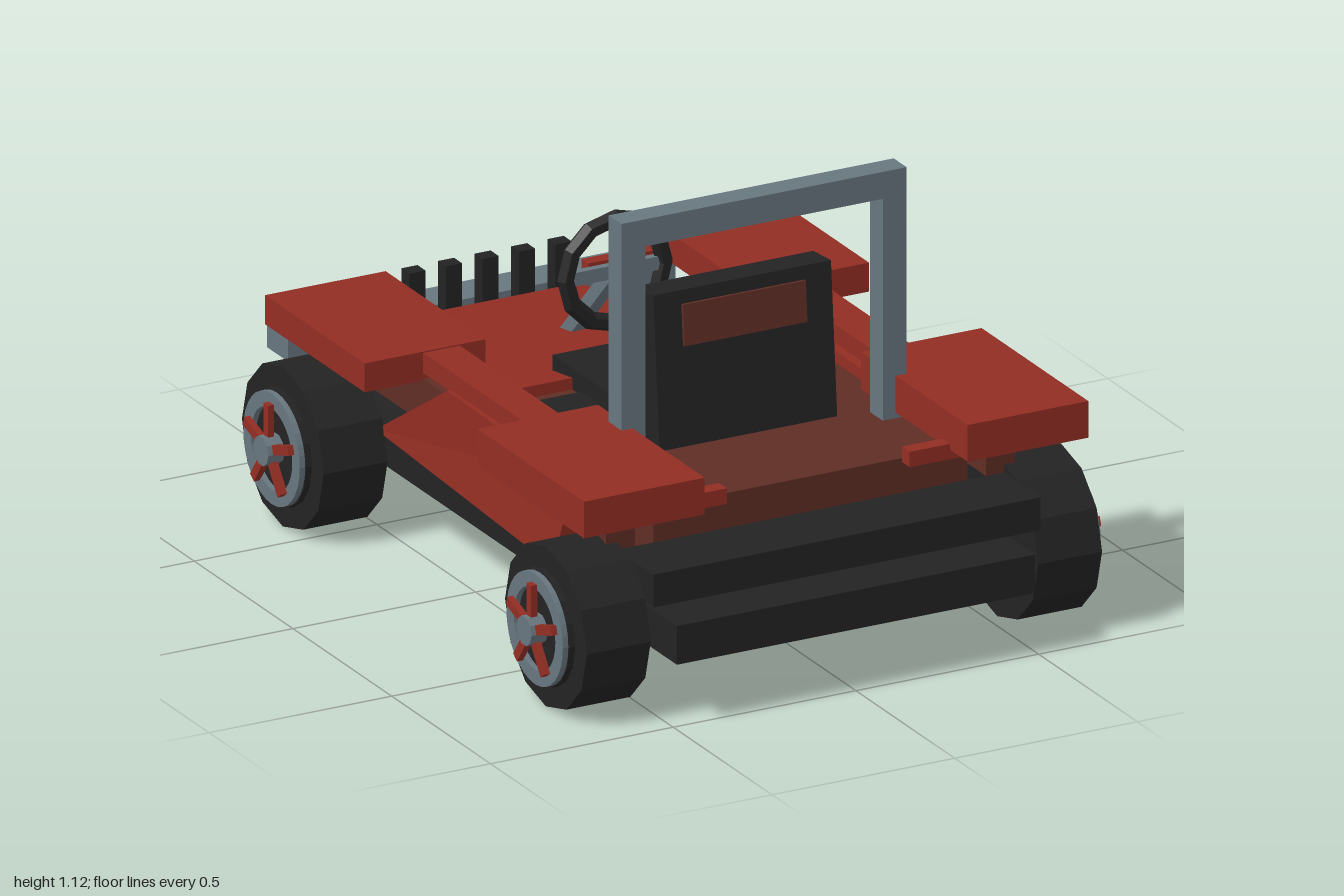
import * as THREE from 'three';

const paint = (name, color) => Object.assign(new THREE.MeshStandardMaterial({ color, flatShading: true }), { name });

export function createModel() {
  const red = paint('red body', 0x922d23);
  const brown = paint('dark brown', 0x5f2d24);
  const black = paint('black', 0x232323);
  const steel = paint('steel grey', 0x68767f);
  const model = new THREE.Group();
  model.name = 'buggy';

  const add = (name, geo, mat, parent = model) => {
    const mesh = new THREE.Mesh(geo, mat);
    mesh.name = name;
    parent.add(mesh);
    return mesh;
  };
  // Box from its limits on each axis
  const box = (name, mat, [x0, x1], [y0, y1], [z0, z1], parent) => {
    const mesh = add(name, new THREE.BoxGeometry(x1 - x0, y1 - y0, z1 - z0), mat, parent);
    mesh.position.set((x0 + x1) / 2, (y0 + y1) / 2, (z0 + z1) / 2);
    return mesh;
  };
  // Box whose corners are placed by a rule (right/top/front flags -> [x, y, z])
  const wedge = (name, mat, rule) => {
    const geo = new THREE.BoxGeometry(1, 1, 1);
    const p = geo.attributes.position;
    for (let i = 0; i < p.count; i++) p.setXYZ(i, ...rule(p.getX(i) > 0, p.getY(i) > 0, p.getZ(i) > 0));
    geo.computeVertexNormals();
    return add(name, geo, mat);
  };

  // Chassis, floor and bumpers
  box('chassis', black, [-0.49, 0.49], [0.16, 0.26], [-0.87, 1]);
  box('bodyFloor', red, [-0.46, 0.46], [0.26, 0.29], [-0.45, 0.58]);
  box('rearBumper', black, [-0.53, 0.53], [0.3, 0.385], [0.77, 0.955]);
  box('frontBumper', steel, [-0.53, 0.53], [0.29, 0.36], [-1, -0.895]);

  // Tub and cockpit floor
  box('tub', brown, [-0.43, 0.43], [0.28, 0.475], [0, 0.77]);
  box('cockpitMat', black, [-0.4, 0.4], [0.475, 0.483], [0.04, 0.155]);

  // Hood tapering to a sloping nose
  wedge('hood', red, (r, t, rear) => {
    const s = r ? 1 : -1;
    if (rear) return t ? [s * 0.405, 0.505, 0] : [s * 0.46, 0.26, 0];
    return t ? [s * 0.22, 0.375, -0.825] : [s * 0.26, 0.19, -0.885];
  });
  for (let i = -2; i <= 2; i++) box('grilleBar', black, [i * 0.1 - 0.022, i * 0.1 + 0.022], [0.31, 0.475], [-0.89, -0.85]);

  // Mirrored body parts
  for (const s of [1, -1]) {
    const side = (name, mat, [a, b], y, z) => box(name, mat, s > 0 ? [a, b] : [-b, -a], y, z);
    wedge('sidePod', red, (r, t, rear) => {
      const outer = r === s > 0;
      const x = !outer ? 0.405 : t ? (rear ? 0.555 : 0.54) : (rear ? 0.58 : 0.53);
      const z = rear ? (t ? 0.59 : 0.54) : (t ? -0.07 : -0.45);
      return [s * x, t ? 0.505 : 0.27, z];
    });
    side('rearFender', red, [0.36, 0.69], [0.49, 0.585], [0.36, 0.9]);
    side('frontFender', red, [0.36, 0.69], [0.48, 0.555], [-0.715, -0.21]);
    side('sideRail', red, [0.43, 0.53], [0.5, 0.552], [-0.21, 0.36]);
    side('rearFenderBracket', brown, [0.48, 0.56], [0.385, 0.49], [0.56, 0.77]);
    side('frontFenderBracket', brown, [0.44, 0.53], [0.37, 0.485], [-0.45, -0.1]);
    side('rearLamp', red, [0.25, 0.48], [0.465, 0.505], [0.77, 0.81]);
    side('frontLamp', red, [0.23, 0.41], [0.39, 0.44], [-0.815, -0.78]);
    side('rollBarPost', steel, [0.325, 0.39], [0.47, 1.05], [0.47, 0.535]);
  }
  box('rollBarTop', steel, [-0.39, 0.39], [1.05, 1.12], [0.47, 0.535]);

  // Seat with a slightly tilted back and headrest pad
  box('seatCushion', black, [-0.235, 0.235], [0.47, 0.53], [-0.1, 0.4]);
  const back = new THREE.Group();
  back.name = 'seatBack';
  back.position.set(0, 0.67, 0.395);
  back.rotation.x = -0.08;
  model.add(back);
  box('seatBackShell', black, [-0.243, 0.243], [-0.2, 0.195], [-0.045, 0.045], back);
  box('headrestPad', brown, [-0.168, 0.168], [0.055, 0.16], [-0.054, 0.054], back);

  // Steering wheel, spoke and column
  add('steeringWheel', new THREE.TorusGeometry(0.135, 0.023, 6, 12), black).position.set(0, 0.662, -0.22);
  box('steeringSpoke', steel, [-0.125, 0.125], [0.645, 0.68], [-0.23, -0.21]);
  const column = box('steeringColumn', steel, [-0.018, 0.018], [-0.17, 0.17], [-0.018, 0.018]);
  column.position.set(0, 0.54, -0.335);
  column.rotation.x = 0.77;

  // Wheels on two axles
  for (const z of [-0.597, 0.735]) {
    const axle = add('axle', new THREE.CylinderGeometry(0.03, 0.03, 1.1, 8), steel);
    axle.rotation.z = Math.PI / 2;
    axle.position.set(0, 0.207, z);
    for (const s of [1, -1]) {
      const wheel = new THREE.Group();
      wheel.name = 'wheel';
      wheel.position.set(0, 0.207, z);
      wheel.rotation.y = s > 0 ? 0 : Math.PI;
      model.add(wheel);
      const disc = (name, mat, r, x0, x1, n) => {
        const m = add(name, new THREE.CylinderGeometry(r, r, x1 - x0, n), mat, wheel);
        m.rotation.z = -Math.PI / 2;
        m.position.x = (x0 + x1) / 2;
      };
      disc('tire', black, 0.207, 0.53, 0.705, 12);
      disc('wheelDisc', black, 0.148, 0.7, 0.721, 16);
      const rim = new THREE.Shape().absarc(0, 0, 0.143, 0, Math.PI * 2);
      rim.holes.push(new THREE.Path().absarc(0, 0, 0.105, 0, Math.PI * 2, true));
      const ring = add('rim', new THREE.ExtrudeGeometry(rim, { depth: 0.016, bevelEnabled: false, curveSegments: 16 }), steel, wheel);
      ring.rotation.y = Math.PI / 2;
      ring.position.x = 0.72;
      disc('hub', steel, 0.038, 0.72, 0.765, 10);
      for (let i = 0; i < 5; i++) {
        const arm = new THREE.Group();
        arm.name = 'spoke';
        arm.rotation.x = (i * Math.PI * 2) / 5;
        wheel.add(arm);
        box('spokeBar', red, [0.735, 0.752], [0.02, 0.118], [-0.012, 0.012], arm);
      }
    }
  }
  return model;
}
